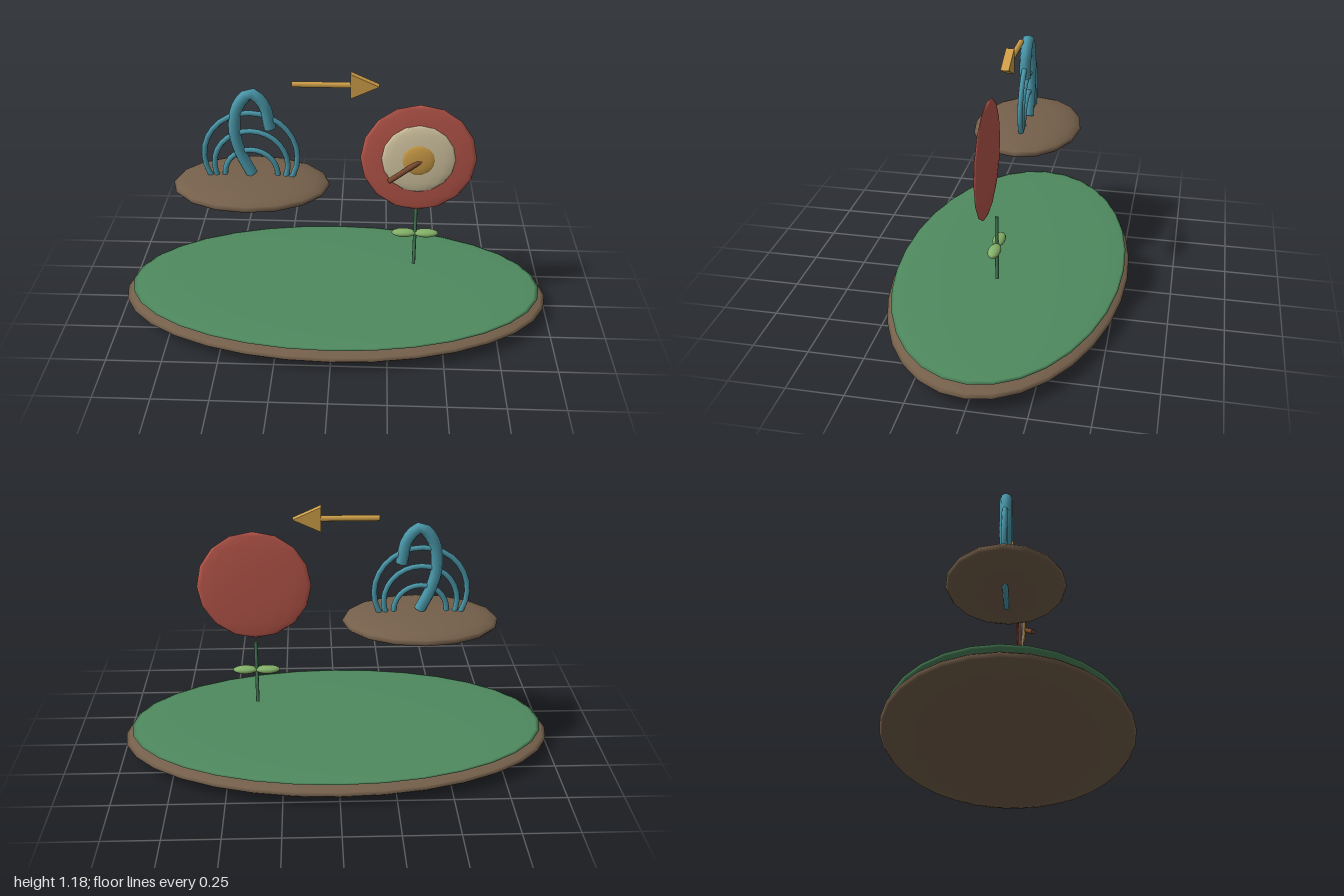
import * as THREE from 'three';

const COLORS = {
  soil: 0x75604b, grass: 0x4f8a5f, coil: 0x4a98aa, gold: 0xd0a049, red: 0xb9574b,
  cream: 0xd9cba6, wood: 0x7a4a30, stem: 0x47805a, leaf: 0x83b068,
};

const materials = {};
for (const [key, color] of Object.entries(COLORS)) {
  materials[key] = new THREE.MeshStandardMaterial({ color, side: THREE.DoubleSide });
}

function add(group, name, geometry, color, position = [0, 0, 0]) {
  const mesh = new THREE.Mesh(geometry, materials[color]);
  mesh.name = name;
  mesh.position.set(...position);
  group.add(mesh);
  return mesh;
}

// Sphere squashed to three radii
function ellipsoid(group, name, color, position, radii, across = 16, down = 8) {
  const geometry = new THREE.SphereGeometry(1, across, down).scale(...radii);
  return add(group, name, geometry, color, position);
}

// Straight round bar between two points
function rod(group, name, color, from, to, radius, sides = 8) {
  const a = new THREE.Vector3(...from);
  const b = new THREE.Vector3(...to);
  const mesh = add(group, name, new THREE.CylinderGeometry(radius, radius, a.distanceTo(b), sides), color);
  mesh.position.lerpVectors(a, b, 0.5);
  mesh.quaternion.setFromUnitVectors(new THREE.Vector3(0, 1, 0), b.sub(a).normalize());
  return mesh;
}

function makeGround() {
  const g = new THREE.Group();
  g.name = 'ground';
  ellipsoid(g, 'soilBase', 'soil', [0, 0.059, 0], [1, 0.059, 0.546], 32, 16);
  ellipsoid(g, 'grassTop', 'grass', [0, 0.105, 0], [0.968, 0.016, 0.528], 32, 16);
  return g;
}

function makeIsland() {
  const g = new THREE.Group();
  g.name = 'floatingIsland';
  ellipsoid(g, 'soilMound', 'soil', [-0.378, 0.639, 0], [0.355, 0.05, 0.257], 16, 12);

  // Nested rings that share their lowest point
  const tube = 0.0125;
  for (const outer of [0.222, 0.178, 0.132]) {
    add(g, 'ring', new THREE.TorusGeometry(outer - tube, tube, 8, 28), 'coil', [-0.377, 0.556 + outer, 0]);
  }

  // Thick hook bending over to the right
  const path = new THREE.CatmullRomCurve3([
    [-0.375, 0.69], [-0.425, 0.8], [-0.445, 0.9], [-0.425, 1.02],
    [-0.367, 1.08], [-0.312, 1.03], [-0.287, 0.915],
  ].map(([x, y]) => new THREE.Vector3(x, y, 0)));
  add(g, 'hook', new THREE.TubeGeometry(path, 20, 0.027, 8), 'coil');
  return g;
}

function makeArrow() {
  const g = new THREE.Group();
  g.name = 'arrow';
  rod(g, 'arrowShaft', 'gold', [-0.187, 1.127, 0], [0.075, 1.127, 0], 0.0135);
  const head = new THREE.Shape([
    new THREE.Vector2(0.068, 1.07), new THREE.Vector2(0.192, 1.127), new THREE.Vector2(0.068, 1.183),
  ]);
  const geometry = new THREE.ExtrudeGeometry(head, { depth: 0.036, bevelEnabled: false });
  add(g, 'arrowHead', geometry, 'gold', [0, 0, -0.018]);
  return g;
}

function makeTarget() {
  const g = new THREE.Group();
  g.name = 'targetFlower';
  // Stacked lens discs, each one nearer the front
  ellipsoid(g, 'outerDisc', 'red', [0.371, 0.798, 0.037], [0.257, 0.258, 0.013]);
  ellipsoid(g, 'middleDisc', 'cream', [0.371, 0.8, 0.048], [0.163, 0.163, 0.015]);
  ellipsoid(g, 'centreDisc', 'gold', [0.371, 0.8, 0.057], [0.076, 0.076, 0.013]);
  rod(g, 'peg', 'wood', [0.385, 0.8, 0.058], [0.239, 0.717, 0.108], 0.012);

  // Stem with a mirrored pair of leaves
  rod(g, 'stem', 'stem', [0.371, 0.226, 0], [0.371, 0.533, 0], 0.008);
  for (const side of [-1, 1]) {
    ellipsoid(g, 'leaf', 'leaf', [0.371 + side * 0.051, 0.394, 0], [0.058, 0.018, 0.028], 14, 8);
  }
  return g;
}

export function createModel() {
  const model = new THREE.Group();
  model.name = 'floatingGarden';
  model.add(makeGround(), makeIsland(), makeArrow(), makeTarget());
  return model;
}
